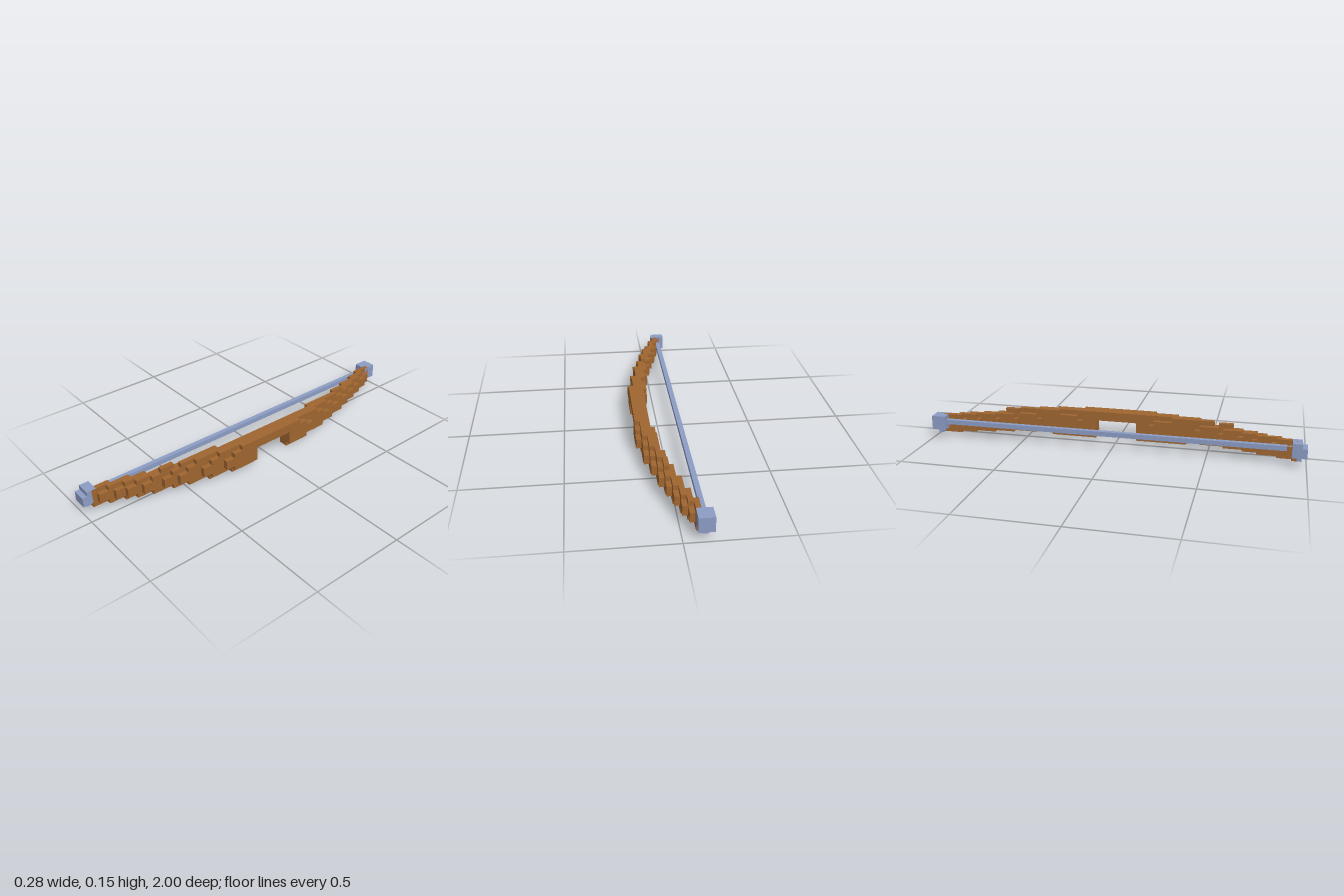
import * as THREE from 'three';

const V = 0.025; // block size

export function createModel() {
  const bow = new THREE.Group();
  bow.name = 'bow';
  const wood = new THREE.MeshStandardMaterial({ color: 0xa06630 });
  wood.name = 'wood';
  const cord = new THREE.MeshStandardMaterial({ color: 0x8c9cc4 });
  cord.name = 'cord blue';

  // Box given by its lower and upper bounds on each axis
  function block(parent, name, mat, x0, x1, y0, y1, z0, z1) {
    const mesh = new THREE.Mesh(new THREE.BoxGeometry(x1 - x0, y1 - y0, z1 - z0), mat);
    mesh.position.set((x0 + x1) / 2, (y0 + y1) / 2, (z0 + z1) / 2);
    mesh.name = name;
    parent.add(mesh);
  }

  // Each column across the bow: index, then start and end along the front limb and the back limb
  const columns = [
    [10, 0, 0.3, 0, 0.3],
    [9, 0, 0.425, 0, 0.45],
    [8, 0, 0.55, 0, 0.55],
    [7, 0.175, 0.625, 0.2, 0.65],
    [6, 0.425, 0.725, 0.425, 0.725],
    [5, 0.55, 0.8, 0.55, 0.8],
    [4, 0.65, 0.85, 0.65, 0.875],
    [3, 0.725, 0.925, 0.75, 0.925],
    [2, 0.825, 0.95, 0.825, 0.95],
    [1, 0.9, 0.95, 0.925, 0.95],
  ];
  // Layers: bottom, top, trim at the start, trim at the end, lowest column, open at the grip
  const layers = [
    [0.025, 0.05, 0.025, 0.05, 1, true],
    [0.05, 0.1, 0, 0, 1, true],
    [0.1, 0.125, 0.025, 0.05, 1, false],
    [0.125, 0.15, 0.125, 0.1, 6, false],
  ];

  // Two curved limbs, rounded by trimming the outer layers
  for (const side of [1, -1]) {
    const limb = new THREE.Group();
    limb.name = side > 0 ? 'frontLimb' : 'backLimb';
    bow.add(limb);
    const gap = side > 0 ? 0.1 : 0.125;
    const place = (name, i, y0, y1, a, b) => {
      const x = -0.1375 + i * V;
      block(limb, name, wood, x, x + V, y0, y1, side > 0 ? a : -b, side > 0 ? b : -a);
    };
    for (const [i, fa, fb, ba, bb] of columns) {
      const start = side > 0 ? fa : ba;
      const end = side > 0 ? fb : bb;
      for (const [y0, y1, trimStart, trimEnd, lowest, open] of layers) {
        if (i < lowest) continue;
        let a = start > 0 ? start + trimStart : 0;
        if (open) a = Math.max(a, gap);
        const b = i > 2 ? end - trimEnd : end;
        if (b > a + 0.001) place('limbStep', i, y0, y1, a, b);
      }
    }
    // Lower rib beside the grip opening
    place('lowerRib', 8, 0, V, gap, 0.375);
    place('lowerRib', 9, 0, V, gap, 0.25);
  }

  // String
  block(bow, 'string', cord, -0.1125, -0.0875, 0.075, 0.1, -0.95, 0.95);

  // Tip caps that hold the string
  const frontTip = new THREE.Group();
  frontTip.name = 'frontTip';
  block(frontTip, 'cap', cord, -0.1375, -0.0625, 0.05, 0.125, 0.925, 0.975);
  block(frontTip, 'capEnd', cord, -0.1375, -0.0625, 0.05, 0.1, 0.975, 1);
  block(frontTip, 'capFoot', cord, -0.1125, -0.0875, 0.025, 0.05, 0.95, 0.975);
  const backTip = new THREE.Group();
  backTip.name = 'backTip';
  block(backTip, 'cap', cord, -0.1375, -0.0625, 0.05, 0.125, -1, -0.925);
  block(backTip, 'capFoot', cord, -0.1125, -0.0875, 0.025, 0.05, -0.975, -0.95);
  bow.add(frontTip, backTip);

  return bow;
}
